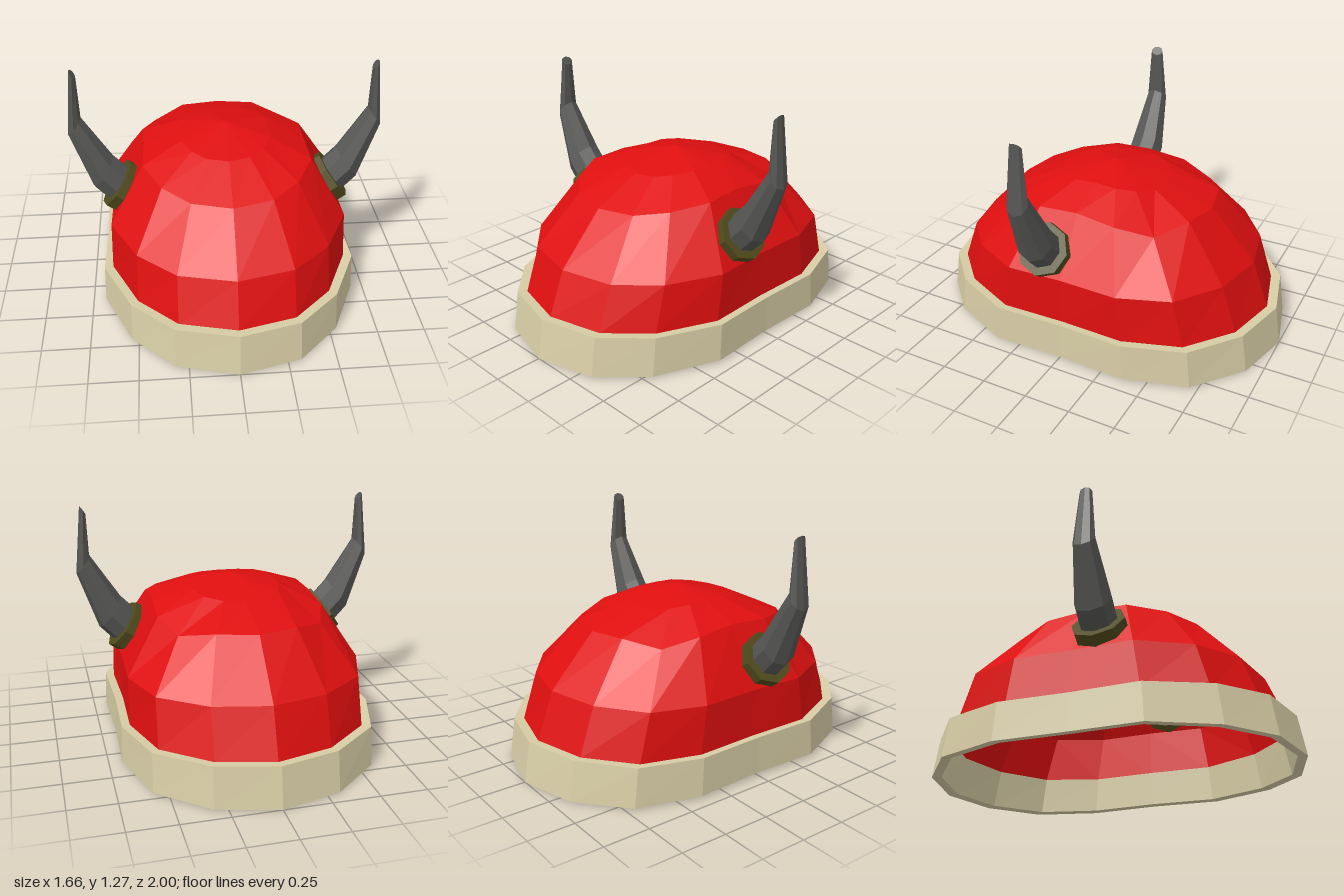
import * as THREE from 'three';

const flat = (name, color) => new THREE.MeshStandardMaterial({ name, color, flatShading: true, side: THREE.DoubleSide });

// Skin a list of equally long rings of [x, y, z] points
function loft(rings, { closed = false, capStart = false, capEnd = false } = {}) {
  const n = rings[0].length, pos = rings.flat(2), idx = [];
  const last = closed ? rings.length : rings.length - 1;
  for (let r = 0; r < last; r++) {
    const a = r * n, b = ((r + 1) % rings.length) * n;
    for (let i = 0; i < n; i++) {
      const j = (i + 1) % n;
      idx.push(a + i, a + j, b + j, a + i, b + j, b + i);
    }
  }
  const e = (rings.length - 1) * n;
  for (let i = 1; i < n - 1; i++) {
    if (capStart) idx.push(0, i + 1, i);
    if (capEnd) idx.push(e, e + i, e + i + 1);
  }
  const g = new THREE.BufferGeometry();
  g.setAttribute('position', new THREE.Float32BufferAttribute(pos, 3));
  g.setIndex(idx);
  const out = g.toNonIndexed();
  out.computeVertexNormals();
  return out;
}

// Sixteen-sided oval outline, a quarter at a time: width and depth factors
const U = [0, 0.465, 0.84, 0.995, 0.98], V = [1, 0.92, 0.71, 0.38, 0];
function oval(rx, rz, ySide, yFront = ySide, yBack = yFront) {
  return Array.from({ length: 16 }, (_, i) => {
    const k = i % 8 <= 4 ? i % 8 : 8 - (i % 8);
    const sx = i < 8 ? 1 : -1, sz = i > 4 && i < 12 ? -1 : 1;
    const narrow = sz > 0 && k === 2 ? 0.93 : 1;
    const yEnd = sz > 0 ? yFront : yBack;
    return [sx * U[k] * rx * narrow, ySide + (yEnd - ySide) * V[k] * V[k], sz * V[k] * rz];
  });
}

// Octagonal ring spanning two points in the xy plane, mirrored by side
function octagon(inner, outer, rz, side) {
  const cx = (inner[0] + outer[0]) / 2, cy = (inner[1] + outer[1]) / 2;
  return Array.from({ length: 8 }, (_, i) => {
    const a = side * i * Math.PI / 4, c = Math.cos(a);
    return [side * (cx + (inner[0] - cx) * c), cy + (inner[1] - cy) * c, 0.12 + rz * Math.sin(a)];
  });
}

export function createModel() {
  const model = new THREE.Group();
  model.name = 'hornedHelmet';
  const red = flat('red', 0xdf0f0f), cream = flat('cream', 0xd8cda6);
  const horn = flat('hornGrey', 0x555553), olive = flat('olive', 0x504a1c);
  const add = (name, geometry, material) => {
    const m = new THREE.Mesh(geometry, material);
    m.name = name;
    model.add(m);
  };

  // Dome, with a shallow dent on each side of the back of the crown
  const shoulder = oval(0.45, 0.57, 0.77, 0.70, 0.73);
  shoulder[6][1] = shoulder[10][1] = 0.7;
  shoulder[5][1] = shoulder[11][1] = 0.745;
  add('dome', loft([
    oval(0.635, 0.915, 0.205),
    oval(0.63, 0.82, 0.46, 0.44, 0.46),
    shoulder,
    oval(0.24, 0.31, 0.85, 0.82),
    oval(0.001, 0.001, 0.896),
  ]), red);

  // Brim band, hollow, its lower edge dipping at front and back
  add('brimBand', loft([
    oval(0.685, 1.0, 0.017, 0.0),
    oval(0.68, 0.965, 0.215),
    oval(0.633, 0.912, 0.21),
    oval(0.642, 0.95, 0.02, 0.005),
  ], { closed: true }), cream);

  // Horns and their collars
  const axis = [0.815, 0.58], centre = [0.565, 0.587];
  const collarProfile = [[-0.09, 0.105], [-0.03, 0.105], [-0.03, 0.142], [0.033, 0.142], [0.033, 0.09], [-0.09, 0.085]];
  for (const [side, word] of [[1, 'left'], [-1, 'right']]) {
    add(word + 'Horn', loft([
      octagon([0.515, 0.68], [0.635, 0.51], 0.1, side),
      octagon([0.60, 0.77], [0.72, 0.60], 0.1, side),
      octagon([0.755, 1.01], [0.828, 0.912], 0.06, side),
      octagon([0.762, 1.232], [0.793, 1.275], 0.035, side),
    ], { capStart: true, capEnd: true }), horn);

    add(word + 'Collar', loft(collarProfile.map(([t, r]) => {
      const x = centre[0] + axis[0] * t, y = centre[1] + axis[1] * t;
      return octagon([x - axis[1] * r, y + axis[0] * r], [x + axis[1] * r, y - axis[0] * r], r, side);
    }), { closed: true }), olive);
  }
  return model;
}
